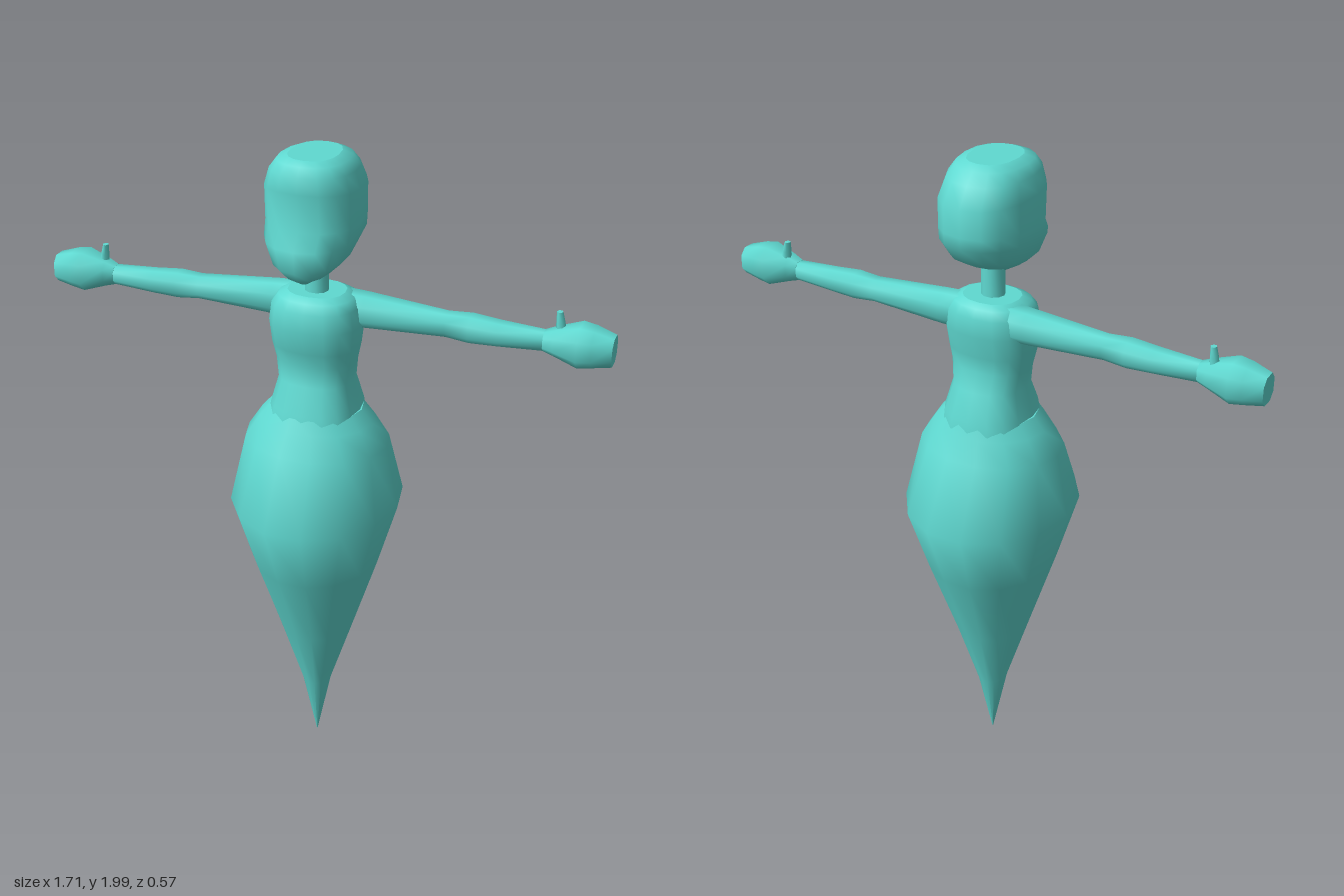
import * as THREE from 'three';

const teal = new THREE.MeshStandardMaterial({ color: 0x5fd9d1 });
teal.name = 'teal';

// Skin a list of rings (each a list of [x, y, z]) and close both ends
function loft(name, rings) {
  const n = rings[0].length;
  const pos = rings.flat(2);
  const index = [];
  for (let i = 0; i < rings.length - 1; i++) {
    for (let j = 0; j < n; j++) {
      const a = i * n + j, b = i * n + (j + 1) % n;
      index.push(a, b, a + n, b, b + n, a + n);
    }
  }
  // Caps get their own vertices so that their edges stay crisp
  for (const [ring, top] of [[rings[0], false], [rings[rings.length - 1], true]]) {
    const start = pos.length / 3;
    const mid = [0, 1, 2].map(k => ring.reduce((s, p) => s + p[k], 0) / n);
    pos.push(...ring.flat(), ...mid);
    for (let j = 0; j < n; j++) {
      const a = start + j, b = start + (j + 1) % n;
      index.push(...(top ? [a, b, start + n] : [b, a, start + n]));
    }
  }
  const geo = new THREE.BufferGeometry();
  geo.setAttribute('position', new THREE.Float32BufferAttribute(pos, 3));
  geo.setIndex(index);
  geo.computeVertexNormals();
  const mesh = new THREE.Mesh(geo, teal);
  mesh.name = name;
  return mesh;
}

// Unit ring of [sin, cos]; power below 1 makes it squarer
function unitRing(n, power = 1, phase = 0.5) {
  const bend = v => Math.sign(v) * Math.abs(v) ** power;
  return Array.from({ length: n }, (_, j) => {
    const a = (j + phase) / n * Math.PI * 2;
    return [bend(Math.sin(a)), bend(Math.cos(a))];
  });
}

// Upright part: sections [front y, back y, half width, front z, back z]
function upright(name, sections, ring, x = 0, zMid = 0) {
  return loft(name, sections.map(([yF, yB, w, zF, zB]) => ring.map(([s, c]) => [
    x + s * w,
    (yF + yB) / 2 + (yF - yB) / 2 * c,
    zMid + c * (c > 0 ? zF - zMid : zMid - zB),
  ])));
}

function createArm(side) {
  const arm = new THREE.Group();
  arm.name = side > 0 ? 'leftArm' : 'rightArm';
  // Sections along x: [x, centre y, half height, centre z, half depth]
  const along = (name, sections, ring) => loft(name, sections.map(([x, y, h, z, d]) =>
    ring.map(([s, c]) => [side * x, y + c * h, z + side * s * d])));
  arm.add(along('sleeve', [
    [0.08, 1.536, 0.053, -0.033, 0.052],
    [0.14, 1.535, 0.051, -0.033, 0.049],
    [0.38, 1.531, 0.036, -0.030, 0.037],
    [0.45, 1.530, 0.041, -0.029, 0.044],
    [0.53, 1.528, 0.036, -0.028, 0.039],
    [0.67, 1.528, 0.029, -0.028, 0.027],
  ], unitRing(8, 0.85)));
  arm.add(along('hand', [
    [0.66, 1.528, 0.030, -0.028, 0.028],
    [0.69, 1.530, 0.040, -0.029, 0.040],
    [0.76, 1.530, 0.063, -0.030, 0.063],
    [0.80, 1.530, 0.057, -0.030, 0.056],
    [0.855, 1.526, 0.044, -0.030, 0.040],
  ], unitRing(8, 0.8)));
  // Thumb leans slightly inward as it rises
  arm.add(loft('thumb', [
    [0.705, 1.54, 0.016], [0.70, 1.585, 0.013], [0.696, 1.615, 0.009],
  ].map(([x, y, r]) => unitRing(6).map(([s, c]) => [side * x + s * r, y, -0.037 + c * r * 1.2]))));
  return arm;
}

export function createModel() {
  const model = new THREE.Group();
  model.name = 'figure';

  // Tapering lower body
  model.add(upright('tail', [
    [0.01, 0.01, 0.001, 0.001, -0.001],
    [0.23, 0.23, 0.045, 0.052, -0.052],
    [0.45, 0.45, 0.115, 0.122, -0.122],
    [0.71, 0.71, 0.197, 0.22, -0.22],
    [0.92, 0.92, 0.258, 0.293, -0.293],
    [1.12, 1.12, 0.221, 0.188, -0.188],
    [1.19, 1.19, 0.175, 0.152, -0.157],
    [1.23, 1.23, 0.14, 0.132, -0.142],
  ], unitRing(14)));

  model.add(upright('torso', [
    [1.17, 1.17, 0.145, 0.14, -0.15],
    [1.24, 1.24, 0.133, 0.13, -0.145],
    [1.32, 1.32, 0.112, 0.096, -0.112],
    [1.38, 1.38, 0.120, 0.088, -0.093],
    [1.43, 1.43, 0.130, 0.108, -0.098],
    [1.50, 1.50, 0.137, 0.121, -0.114],
    [1.555, 1.555, 0.130, 0.114, -0.112],
    [1.58, 1.58, 0.112, 0.095, -0.096],
    [1.592, 1.592, 0.085, 0.07, -0.075],
  ], unitRing(16, 0.85, 0)));

  model.add(upright('neck', [
    [1.56, 1.56, 0.036, 0.038, -0.032],
    [1.74, 1.74, 0.034, 0.036, -0.030],
  ], unitRing(10), 0, 0.003));

  // Head with a jutting lower face and a sloping underside
  model.add(upright('head', [
    [1.648, 1.675, 0.028, 0.115, 0.0],
    [1.668, 1.705, 0.072, 0.148, -0.09],
    [1.700, 1.735, 0.106, 0.176, -0.140],
    [1.765, 1.785, 0.132, 0.182, -0.174],
    [1.810, 1.820, 0.134, 0.146, -0.176],
    [1.920, 1.900, 0.134, 0.156, -0.176],
    [1.965, 1.955, 0.120, 0.148, -0.138],
    [1.990, 1.987, 0.100, 0.132, -0.108],
    [2.0, 2.0, 0.070, 0.105, -0.080],
  ], unitRing(16, 0.85, 0), 0, 0.02));

  for (const side of [1, -1]) model.add(createArm(side));
  return model;
}
